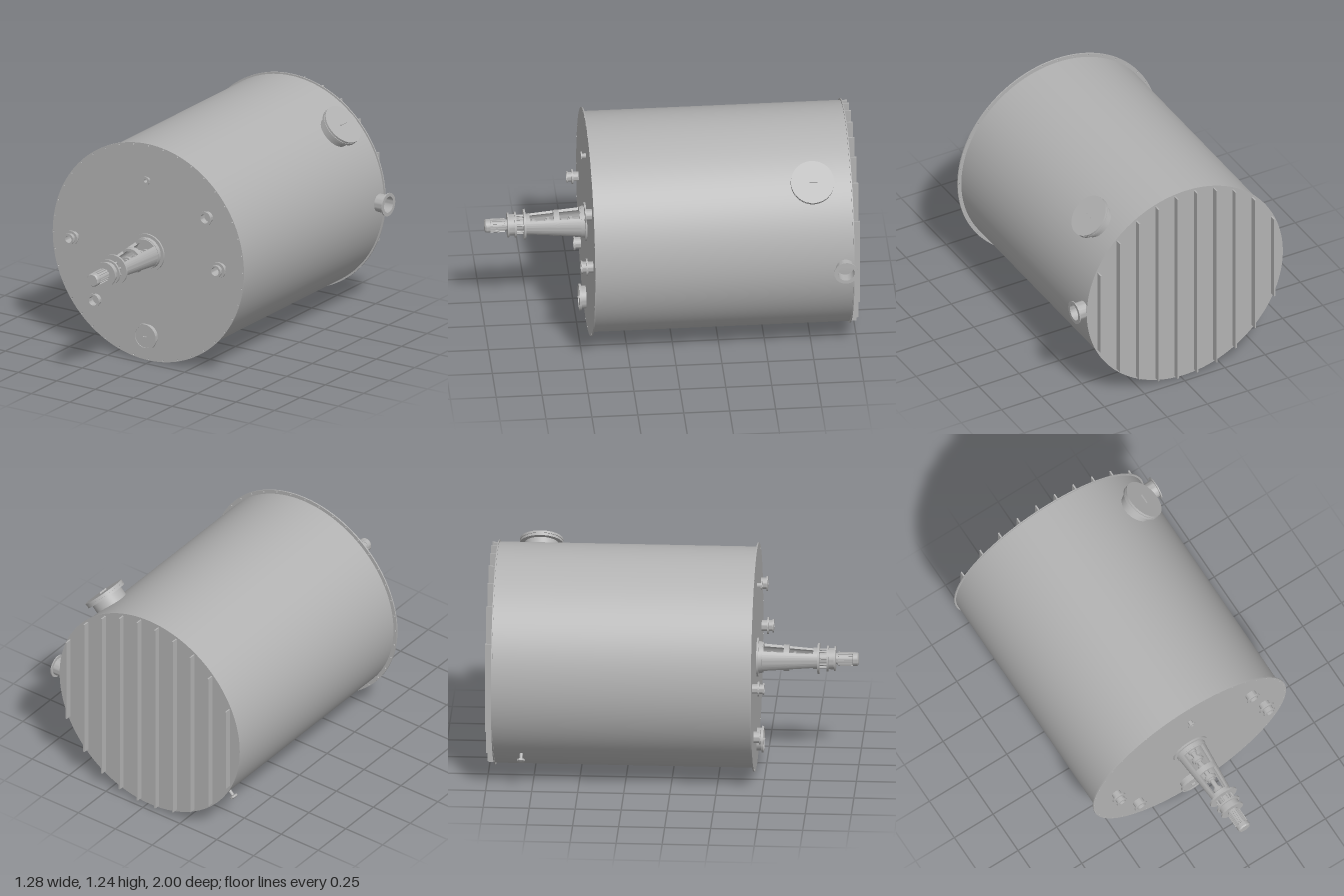
import * as THREE from 'three';
import { toCreasedNormals } from 'three/addons/utils/BufferGeometryUtils.js';

const CX = -0.02, CY = 0.624;      // tank axis
const FRONT = 0.448, BACK = -0.965; // outer faces of the end plates

const steel = new THREE.MeshStandardMaterial({ color: 0xb2b2b2, side: THREE.DoubleSide });
steel.name = 'steel grey';

export function createModel() {
  const root = new THREE.Group();
  root.name = 'mixingTank';

  // everything hangs on the tank axis
  const tank = new THREE.Group();
  tank.name = 'tank';
  tank.position.set(CX, CY, 0);
  root.add(tank);

  const add = (name, geometry, parent = tank) => {
    const mesh = new THREE.Mesh(geometry, steel);
    mesh.name = name;
    parent.add(mesh);
    return mesh;
  };
  // turned part from [radius, height] pairs
  const turned = (profile, segments = 40) => toCreasedNormals(
    new THREE.LatheGeometry(profile.map(([r, h]) => new THREE.Vector2(r, h)), segments), 0.6);
  // turned part along z, heights given as z
  const alongZ = (name, profile, x = 0, y = 0, segments = 40) => {
    const mesh = add(name, turned(profile, segments).rotateX(Math.PI / 2));
    mesh.position.set(x, y, 0);
    return mesh;
  };
  // group whose y axis points out from the tank wall
  const radial = (name, angle, z) => {
    const group = new THREE.Group();
    group.name = name;
    group.rotation.z = angle - Math.PI / 2;
    group.position.z = z;
    tank.add(group);
    return group;
  };
  // open pipe with an end flange
  const flanged = (rPipe, rBore, rFlange, from, to, t) => [
    [rPipe, from], [rPipe, to - t], [rFlange, to - t], [rFlange, to], [rBore, to], [rBore, from]];

  // shell and end plates
  alongZ('shell', [[0.6, BACK], [0.6, FRONT - 0.004]], 0, 0, 128);
  alongZ('backPlate', [[0, BACK], [0.61, BACK], [0.61, BACK + 0.006], [0.59, BACK + 0.006]], 0, 0, 128);

  const disc = new THREE.Shape().absarc(0, 0, 0.622, 0, Math.PI * 2);
  for (let i = 0; i < 40; i++) {
    const a = i * Math.PI / 20;
    disc.holes.push(new THREE.Path().absarc(Math.cos(a) * 0.613, Math.sin(a) * 0.613, 0.0045, 0, Math.PI * 2, true));
  }
  const plate = new THREE.ExtrudeGeometry(disc, { depth: 0.007, bevelEnabled: false, curveSegments: 64 });
  add('frontPlate', toCreasedNormals(plate, 0.6)).position.z = FRONT - 0.007;

  // stiffening ribs on the back
  for (let i = 0; i < 10; i++) {
    const x = -0.54 + i * 0.12;
    const length = 2 * Math.sqrt(0.597 ** 2 - x * x);
    add('backRib', new THREE.BoxGeometry(0.008, length, 0.035)).position.set(x, 0, BACK - 0.0175);
  }

  // nozzles on the front: x, y, flange, pipe, bore, end z
  for (const [x, y, rf, rp, rb, end] of [
    [0, 0.418, 0.023, 0.013, 0.01, 0.476],
    [0.39, 0.279, 0.041, 0.031, 0.026, 0.486],
    [-0.336, -0.336, 0.04, 0.031, 0.026, 0.486],
  ]) alongZ('frontNozzle', flanged(rp, rb, rf, FRONT, end, 0.007), x, y);

  // taller nozzles with two flanges
  for (const [x, rf, rp] of [[0.476, 0.046, 0.03], [-0.477, 0.04, 0.026]]) {
    alongZ('doubleNozzle', [[rp, FRONT], [rp, 0.478], [rf, 0.478], [rf, 0.487], [rp, 0.487],
      [rp, 0.506], [rp + 0.006, 0.506], [rp + 0.006, 0.514], [rp - 0.006, 0.514], [rp - 0.006, FRONT]], x, 0);
  }

  // inspection hatch low on the front
  alongZ('frontHatch', [[0.062, FRONT], [0.062, 0.474], [0.073, 0.474], [0.073, 0.486],
    [0.062, 0.486], [0.062, 0.482], [0, 0.482]], 0, -0.477, 48);
  add('frontHatchHandle', new THREE.BoxGeometry(0.02, 0.005, 0.01)).position.set(0, -0.477, 0.487);

  // manhole on the upper left of the shell
  const manhole = radial('manhole', Math.PI / 4, -0.747);
  add('manholeNeck', turned([[0.094, 0.57], [0.094, 0.646], [0.118, 0.646], [0.118, 0.659],
    [0.114, 0.659], [0.114, 0.662], [0.118, 0.662], [0.118, 0.674], [0, 0.674]], 48), manhole);
  add('manholeHandle', new THREE.BoxGeometry(0.005, 0.01, 0.055), manhole).position.y = 0.678;

  // outlet on the left side
  const outlet = radial('sideOutlet', 0, -0.915);
  add('sideOutletPipe', turned(flanged(0.05, 0.045, 0.065, 0.59, 0.661, 0.006)), outlet);

  // small drain at the lower right
  const drain = radial('drain', -Math.PI * 0.75, -0.81);
  add('drainPipe', turned([[0.009, 0.59], [0.009, 0.632], [0.022, 0.636], [0.022, 0.646],
    [0.012, 0.65], [0, 0.65]], 24), drain);

  // agitator foot
  alongZ('agitatorFoot', [[0.106, FRONT], [0.106, 0.458], [0.088, 0.458], [0.086, 0.478],
    [0.072, 0.478], [0.072, FRONT]]);

  // tapered lantern: rings joined by two side arms
  const taper = z => 0.086 - (z - 0.45) * 0.088;
  const sector = (name, z0, z1, mid, half, grow = 0) => {
    const shape = new THREE.Shape();
    shape.absarc(0, 0, 1, mid - half, mid + half, false);
    shape.absarc(0, 0, 0.8, mid + half, mid - half, true);
    const g = new THREE.ExtrudeGeometry(shape, { depth: z1 - z0, bevelEnabled: false, curveSegments: 20 });
    const p = g.attributes.position;
    for (let i = 0; i < p.count; i++) {
      const z = p.getZ(i) + z0, r = taper(z) + grow;
      p.setXYZ(i, p.getX(i) * r, p.getY(i) * r, z);
    }
    add(name, toCreasedNormals(g, 0.6));
  };
  for (const mid of [0, Math.PI]) {
    sector('lanternArm', 0.46, 0.78, mid, 0.75);
    for (const [z0, z1] of [[0.458, 0.485], [0.595, 0.625], [0.755, 0.78]]) {
      sector('lanternRing', z0, z1, mid, Math.PI / 2);
    }
  }

  // shaft with couplings
  alongZ('shaft', [[0.014, FRONT], [0.014, 0.84]], 0, 0, 24);
  for (const [z, r] of [[0.475, 0.024], [0.53, 0.034], [0.575, 0.022], [0.655, 0.034], [0.735, 0.028]]) {
    alongZ('coupling', [[0, z - 0.017], [r * 0.7, z - 0.017], [r * 0.7, z - 0.008], [r, z - 0.008],
      [r, z + 0.008], [r * 0.7, z + 0.008], [r * 0.7, z + 0.017], [0, z + 0.017]], 0, 0, 24);
  }

  // gearbox flanges with stud bolts between them
  alongZ('lanternFlange', [[0, 0.778], [0.084, 0.778], [0.084, 0.789], [0, 0.789]]);
  alongZ('gearNeck', [[0.035, 0.789], [0.035, 0.83]]);
  for (let i = 0; i < 8; i++) {
    const a = (i + 0.5) * Math.PI / 4;
    alongZ('studBolt', [[0.006, 0.789], [0.006, 0.832]], Math.cos(a) * 0.048, Math.sin(a) * 0.048, 10);
  }
  alongZ('gearbox', [[0, 0.828], [0.07, 0.828], [0.07, 0.838], [0.058, 0.838], [0.058, 0.868],
    [0.068, 0.868], [0.068, 0.877], [0.03, 0.877], [0.03, 0.89], [0, 0.89]]);

  // motor with cooling fins
  alongZ('motor', [[0, 0.885], [0.034, 0.885], [0.034, 0.968], [0.037, 0.97], [0.037, 0.992],
    [0.031, 1], [0, 1]], 0, 0, 32);
  for (let i = 0; i < 16; i++) {
    const a = i * Math.PI / 8;
    const fin = add('motorFin', new THREE.BoxGeometry(0.008, 0.004, 0.08));
    fin.position.set(Math.cos(a) * 0.034, Math.sin(a) * 0.034, 0.929);
    fin.rotation.z = a;
  }

  return root;
}
